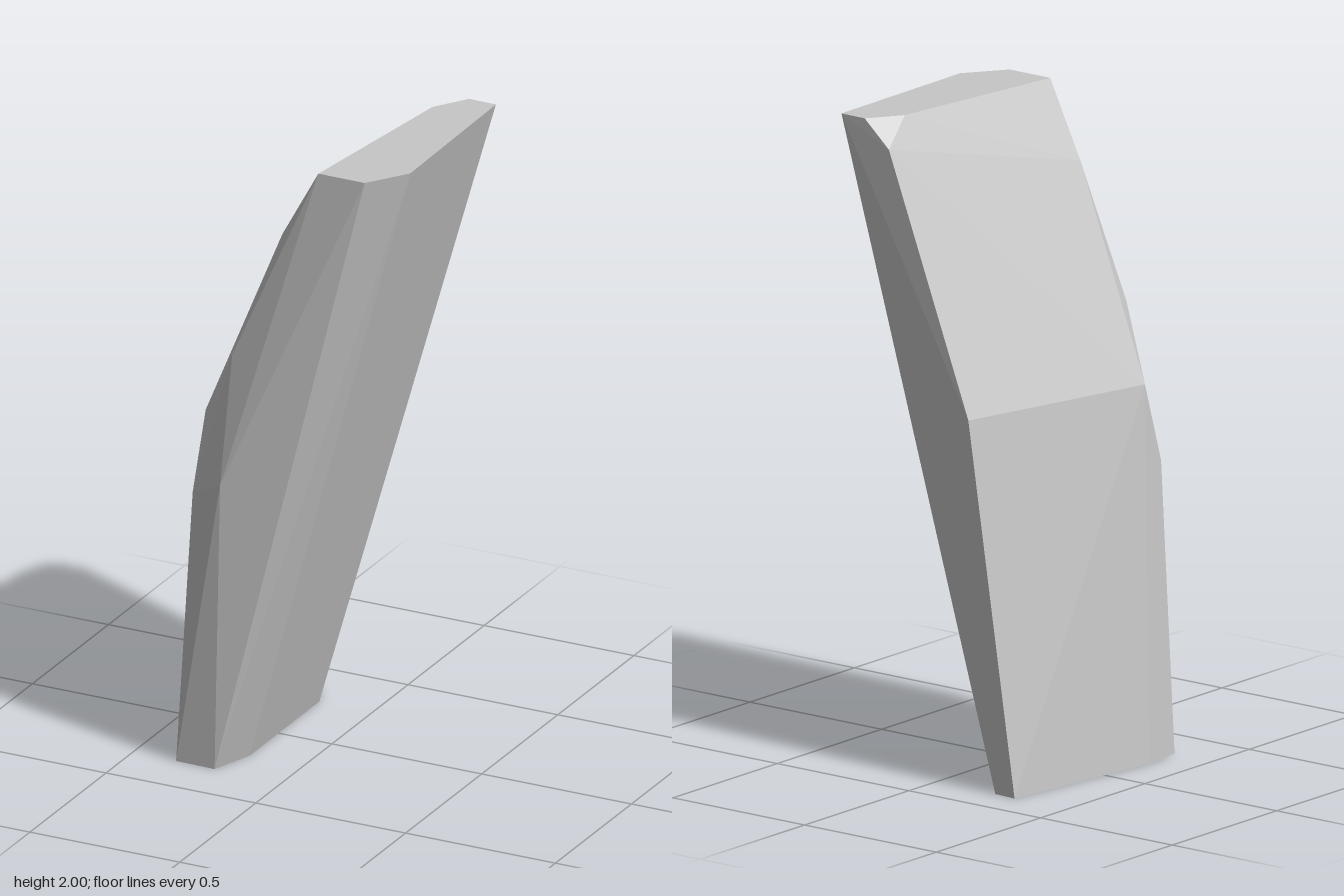
import * as THREE from 'three';
import { ConvexGeometry } from 'three/addons/geometries/ConvexGeometry.js';

// Cap outlines as [x, z]
const bottomCap = [
  [-0.37, 0.185], [-0.355, 0.325], [-0.225, 0.328], [-0.178, 0.19],
  [-0.178, -0.267], [-0.225, -0.37], [-0.302, -0.375],
];
const topCap = [
  [0.125, 0.335], [0.28, 0.335], [0.368, 0.21],
  [0.36, -0.369], [0.27, -0.371], [0.2, -0.267],
];

// Chipped corners between the caps as [x, y, z]
const ridges = [
  [-0.137, 1.14, -0.388], // back
  [0.175, 1.92, -0.375], // upper back chip
  [-0.28, 1.135, 0.278], // side ridge
  [-0.16, 1.36, 0.34],
  [-0.005, 1.772, 0.315],
  [-0.292, 0.89, 0.34],
  [-0.178, 0.95, 0.385], // front
];

export function createModel() {
  const stone = new THREE.MeshStandardMaterial({ color: 0xc6c6c6 });
  stone.name = 'light grey stone';

  // Leaning faceted shard: the hull of its corners, flat shaded
  const corners = [
    ...bottomCap.map(([x, z]) => new THREE.Vector3(x, 0, z)),
    ...topCap.map(([x, z]) => new THREE.Vector3(x, 2, z)),
    ...ridges.map((p) => new THREE.Vector3(...p)),
  ];
  const shard = new THREE.Mesh(new ConvexGeometry(corners), stone);
  shard.name = 'stoneShard';

  const group = new THREE.Group();
  group.name = 'leaningStone';
  group.add(shard);
  return group;
}
